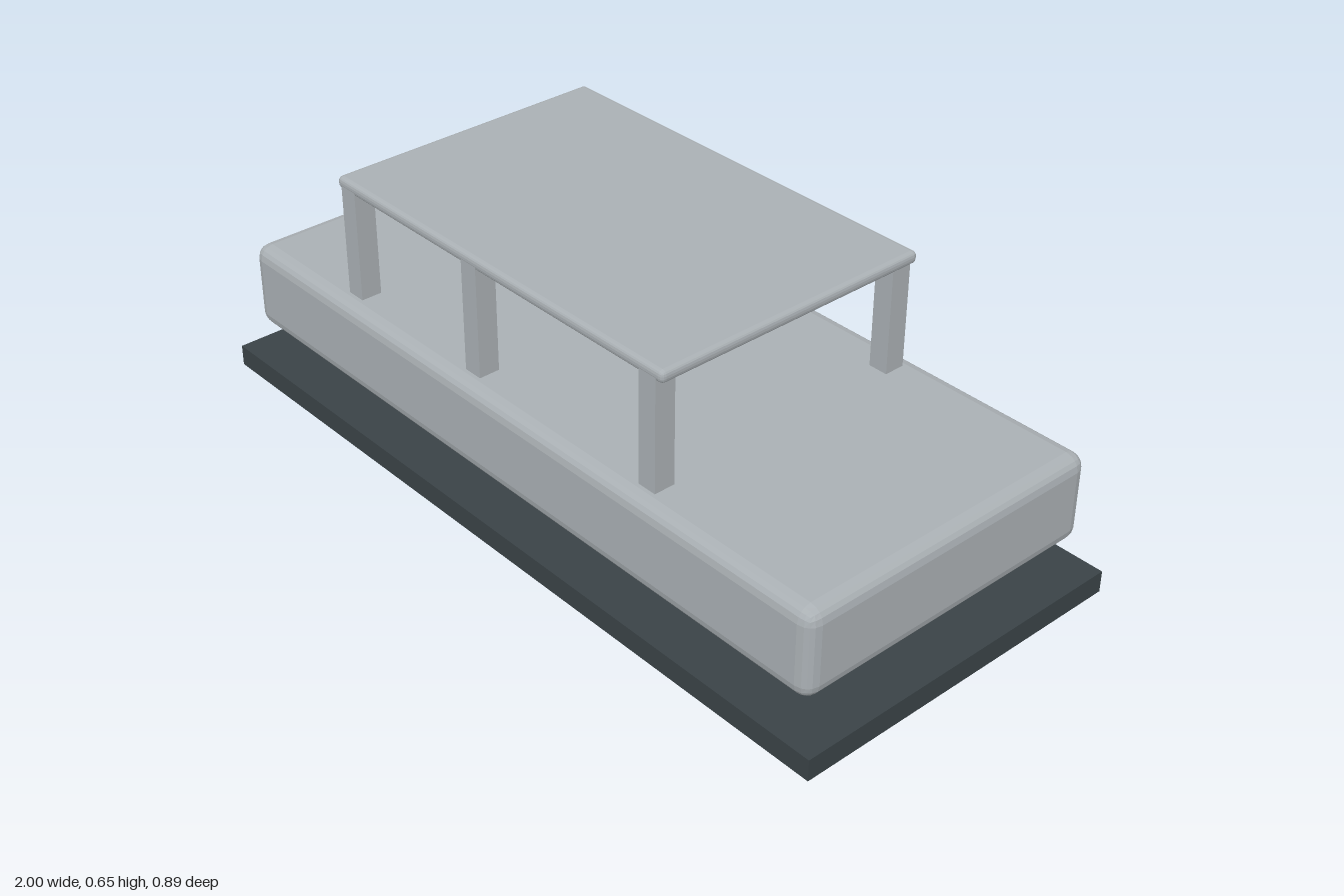
import * as THREE from 'three';
import { RoundedBoxGeometry } from 'three/addons/geometries/RoundedBoxGeometry.js';

export function createModel() {
  const model = new THREE.Group();
  model.name = 'canopyPlatform';

  const lightGrey = new THREE.MeshStandardMaterial({ color: 0xaab0b4, flatShading: true });
  lightGrey.name = 'lightGrey';
  const darkSlate = new THREE.MeshStandardMaterial({ color: 0x3a4347, flatShading: true });
  darkSlate.name = 'darkSlate';

  function add(name, geometry, material, x, y, z) {
    const mesh = new THREE.Mesh(geometry, material);
    mesh.name = name;
    mesh.position.set(x, y, z);
    model.add(mesh);
  }

  // Ground slab, with a gap between it and the floating body
  add('baseSlab', new THREE.BoxGeometry(2, 0.054, 0.89), darkSlate, 0, 0.027, 0);

  // Body with bevelled edges
  add('body', new RoundedBoxGeometry(1.906, 0.22, 0.822, 2, 0.035), lightGrey, 0, 0.245, 0);

  // Three posts along each side, reaching slightly into body and roof
  const post = new THREE.BoxGeometry(0.05, 0.285, 0.053);
  for (const [side, z] of [['left', -0.34], ['right', 0.34]]) {
    [-0.58, -0.136, 0.44].forEach((x, i) => {
      add(`${side === 'left' ? 'back' : 'front'}Post${i + 1}`, post, lightGrey, x, 0.4925, z);
    });
  }

  // Thin flat roof with softened rim
  add('roof', new RoundedBoxGeometry(1.106, 0.03, 0.734, 2, 0.012), lightGrey, -0.068, 0.64, 0);

  return model;
}
